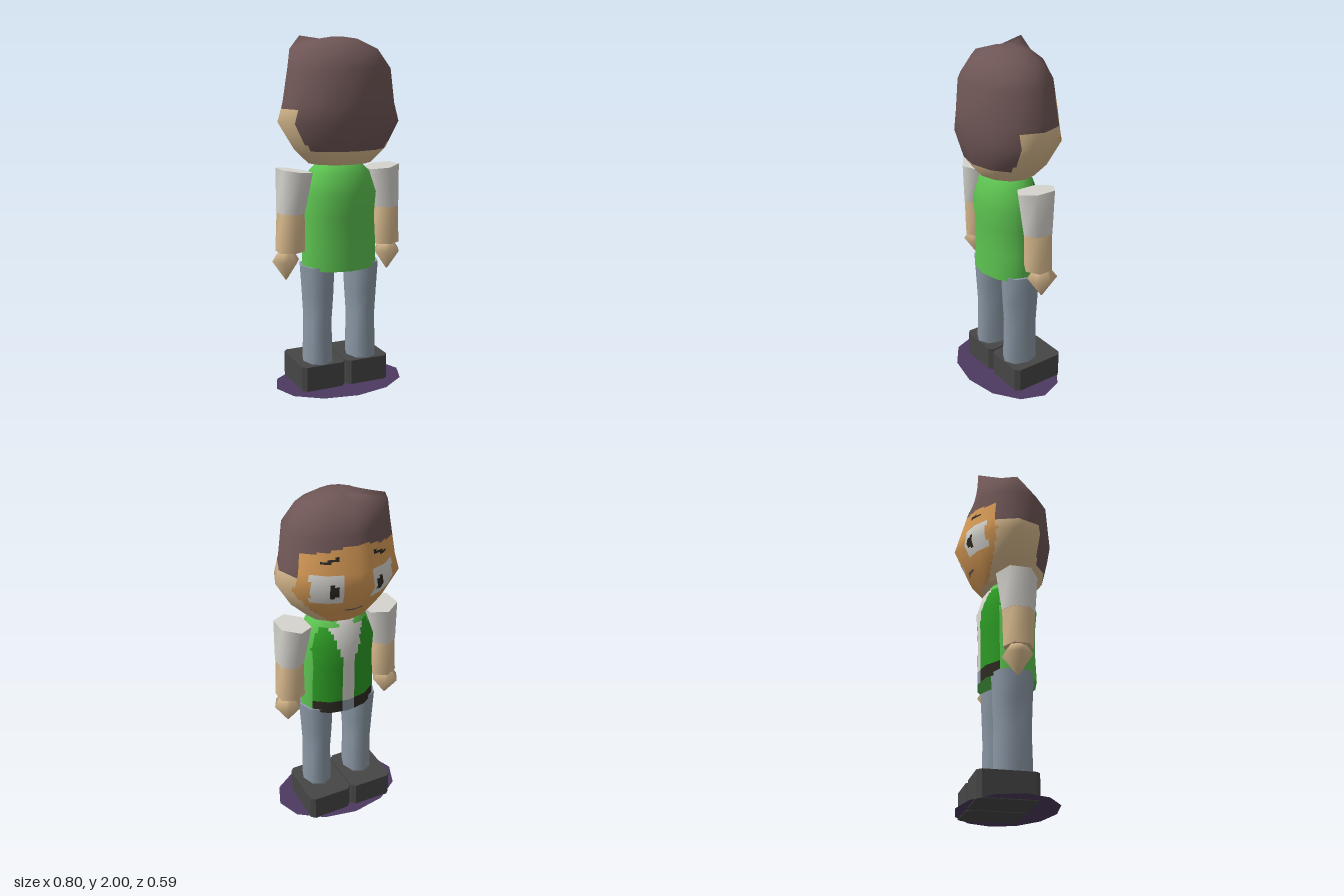
import * as THREE from 'three';

const mat = (name, color, side = THREE.FrontSide) => {
  const m = new THREE.MeshStandardMaterial({ color, side });
  m.name = name;
  return m;
};
const M = {
  hair: mat('hair brown', 0x6e5555),
  skin: mat('skin tan', 0xd8ba8e),
  face: mat('face orange', 0xd69a56),
  green: mat('shirt green', 0x5cc250),
  vest: mat('vest green', 0x2c9a24),
  white: mat('cloth white', 0xd6d4ce),
  jeans: mat('jeans blue grey', 0x8b98a6),
  shoe: mat('shoe grey', 0x464646),
  dark: mat('belt dark', 0x2e2a22),
  base: mat('base purple', 0x4c3a60, THREE.DoubleSide),
};

// Smooth loft through rings [y, xMin, xMax, zMin, zMax]; paint(x, y, z) picks the colour of each small cell.
function loft(name, rows, sides, paint, { step = 1, sub = 1, phase = 0, tweak } = {}) {
  const coarse = [], index = [], at = (r, c) => r * sides + (c % sides);
  rows.forEach(([y, x0, x1, z0, z1], r) => {
    for (let c = 0; c < sides; c++) {
      const a = ((c + phase) / sides) * Math.PI * 2;
      const p = new THREE.Vector3(
        (x0 + x1) / 2 + ((x1 - x0) / 2) * Math.sin(a), y, (z0 + z1) / 2 - ((z1 - z0) / 2) * Math.cos(a));
      if (tweak) tweak(p, r, c);
      coarse.push(p);
      if (r < rows.length - 1)
        index.push(at(r, c), at(r + 1, c), at(r, c + 1), at(r, c + 1), at(r + 1, c), at(r + 1, c + 1));
    }
  });
  const g = new THREE.BufferGeometry().setFromPoints(coarse).setIndex(index);
  g.computeVertexNormals();
  const normals = coarse.map((_, i) => new THREE.Vector3().fromBufferAttribute(g.attributes.normal, i));
  const mix = (list, r, c, u, v) => {
    const low = list[at(r, c)].clone().lerp(list[at(r, c + 1)], u);
    return low.lerp(list[at(r + 1, c)].clone().lerp(list[at(r + 1, c + 1)], u), v);
  };
  const buckets = new Map();
  const add = (m, verts) => {
    if (!buckets.has(m)) buckets.set(m, []);
    buckets.get(m).push(...verts);
  };
  for (let r = 0; r < rows.length - 1; r++) {
    const n = Math.max(1, Math.ceil((rows[r + 1][0] - rows[r][0]) / step));
    for (let c = 0; c < sides; c++) for (let i = 0; i < sub; i++) for (let j = 0; j < n; j++) {
      const v = (di, dj) => {
        const u = (i + di) / sub, w = (j + dj) / n;
        return [mix(coarse, r, c, u, w), mix(normals, r, c, u, w).normalize()];
      };
      const mid = v(0.5, 0.5)[0];
      add(paint(mid.x, mid.y, mid.z), [v(0, 0), v(0, 1), v(1, 0), v(1, 0), v(0, 1), v(1, 1)]);
    }
  }
  // Flat end caps
  [[0, -1], [rows.length - 1, 1]].forEach(([r, s]) => {
    const nrm = new THREE.Vector3(0, s, 0), centre = new THREE.Vector3();
    for (let c = 0; c < sides; c++) centre.addScaledVector(coarse[at(r, c)], 1 / sides);
    for (let c = 0; c < sides; c++) {
      const p = coarse[at(r, c)], q = coarse[at(r, c + 1)];
      add(paint(centre.x, centre.y, centre.z), [centre, ...(s > 0 ? [q, p] : [p, q])].map((k) => [k, nrm]));
    }
  });
  const out = new THREE.BufferGeometry(), pos = [], nor = [], mats = [];
  for (const [m, verts] of buckets) {
    out.addGroup(pos.length / 3, verts.length, mats.length);
    mats.push(m);
    for (const [p, k] of verts) { pos.push(p.x, p.y, p.z); nor.push(k.x, k.y, k.z); }
  }
  out.setAttribute('position', new THREE.Float32BufferAttribute(pos, 3));
  out.setAttribute('normal', new THREE.Float32BufferAttribute(nor, 3));
  const mesh = new THREE.Mesh(out, mats.length > 1 ? mats : mats[0]);
  mesh.name = name;
  return mesh;
}

// Hair, cheeks, face, eyes, brows and mouth
function paintHead(x, y, z) {
  const ax = Math.abs(x);
  if (z < -0.11 && y < 1.73 + 0.05 * (1 - ax / 0.27)) {
    if (ax > 0.12 && ax < 0.155 && y > 1.5 && y < 1.58) return M.dark;
    if (ax > 0.085 && ax < 0.24 && y > 1.455 && y < 1.625) return M.white;
    if (ax > 0.1 && ax < 0.19 && Math.abs(y - 1.735 + 0.22 * ax) < 0.008) return M.dark;
    if (ax < 0.045 && Math.abs(y - 1.395) < 0.007) return M.hair;
    return M.face;
  }
  return y > 1.6 || (z > 0.14 && y > 1.38) ? M.hair : M.skin;
}

// Shirt, open vest and belt
function paintBody(x, y, z) {
  const ax = Math.abs(x);
  if (y <= 0.7 || z > -0.06) return M.green;
  if (y < 0.77) return ax < 0.03 ? M.jeans : M.dark;
  if (y > 1.25) return ax < 0.05 ? M.white : M.green;
  return ax < 0.037 + Math.max(0, y - 1.05) * 0.32 ? M.white : M.vest;
}

export function createModel() {
  const model = new THREE.Group();
  model.name = 'figure';

  // Head with pointed nose, a tuft and a fuller side of hair
  const ring = (y, r, z0, z1) => [y, -r, r, z0, z1];
  model.add(loft('head', [
    ring(1.3, 0.185, -0.135, 0.18), ring(1.38, 0.27, -0.19, 0.24), ring(1.53, 0.36, -0.25, 0.275),
    ring(1.63, 0.328, -0.245, 0.272), ring(1.82, 0.3, -0.215, 0.26), ring(1.925, 0.225, -0.165, 0.2),
    ring(1.98, 0.11, -0.1, 0.11), ring(1.99, 0.04, -0.04, 0.04),
  ], 12, paintHead, {
    step: 0.0125, sub: 8,
    tweak: (p, r, c) => {
      if (c === 0 && r === 2) p.z = -0.295;
      if (c === 0 && r === 3) p.z = -0.268;
      if (r === 5 && c === 11) p.set(-0.15, 2, -0.19);
      if (r === 5 && (c === 9 || c === 10)) p.x = c === 9 ? -0.29 : -0.255;
    },
  }));

  model.add(loft('torso', [
    ring(0.7, 0.225, -0.145, 0.187), ring(0.85, 0.224, -0.145, 0.18), ring(1.0, 0.213, -0.147, 0.182),
    ring(1.13, 0.222, -0.155, 0.195), ring(1.25, 0.18, -0.12, 0.165), ring(1.3, 0.13, -0.085, 0.12),
  ], 12, paintBody, { step: 0.02, sub: 6 }));

  for (const s of [1, -1]) {
    const side = s > 0 ? 'left' : 'right';
    const mirror = (rows) => rows.map(([y, a, b, z0, z1]) => (s > 0 ? [y, a, b, z0, z1] : [y, -b, -a, z0, z1]));

    // Arm: bare forearm and wider sleeve, flat side outwards
    model.add(loft(side + 'Forearm', mirror([
      [0.81, 0.213, 0.382, -0.07, 0.1], [1.03, 0.217, 0.37, -0.075, 0.11]]), 6, () => M.skin));
    model.add(loft(side + 'Sleeve', mirror([
      [1.03, 0.215, 0.372, -0.077, 0.112], [1.265, 0.168, 0.37, -0.105, 0.135]]), 6, () => M.white, {
      tweak: (p, r) => { if (r === 1) p.y += (Math.abs(p.x) - 0.27) * 0.14; },
    }));
    model.add(loft(side + 'Hand', mirror([
      [0.645, 0.315, 0.325, 0, 0.01], [0.755, 0.24, 0.4, -0.085, 0.09], [0.815, 0.28, 0.36, -0.04, 0.05],
    ]), 6, () => M.skin, { phase: 0.5 }));

    model.add(loft(side + 'Leg', mirror([
      [0.14, 0.05, 0.226, -0.087, 0.13], [0.4, 0.055, 0.218, -0.085, 0.125],
      [0.55, 0.043, 0.228, -0.092, 0.132], [0.72, 0.035, 0.24, -0.1, 0.14],
    ]), 8, () => M.jeans));

    // Shoe: block with cut corners
    const [a, b, z0, z1, k] = [0.005, 0.27, -0.135, 0.195, 0.024];
    const outline = [[a + k, z0], [b - k, z0], [b, z0 + k], [b, z1 - k], [b - k, z1], [a + k, z1], [a, z1 - k], [a, z0 + k]];
    const shape = new THREE.Shape(outline.map(([x, z]) => new THREE.Vector2(s * x, z)));
    const shoe = new THREE.Mesh(
      new THREE.ExtrudeGeometry(shape, { depth: 0.148, bevelEnabled: false }).rotateX(-Math.PI / 2), M.shoe);
    shoe.name = side + 'Shoe';
    model.add(shoe);
  }

  // Flat oval base
  const base = new THREE.Mesh(new THREE.CircleGeometry(1, 12).rotateX(-Math.PI / 2), M.base);
  base.scale.set(0.39, 1, 0.275);
  base.position.set(0, 0.004, 0.02);
  base.name = 'base';
  model.add(base);
  return model;
}
